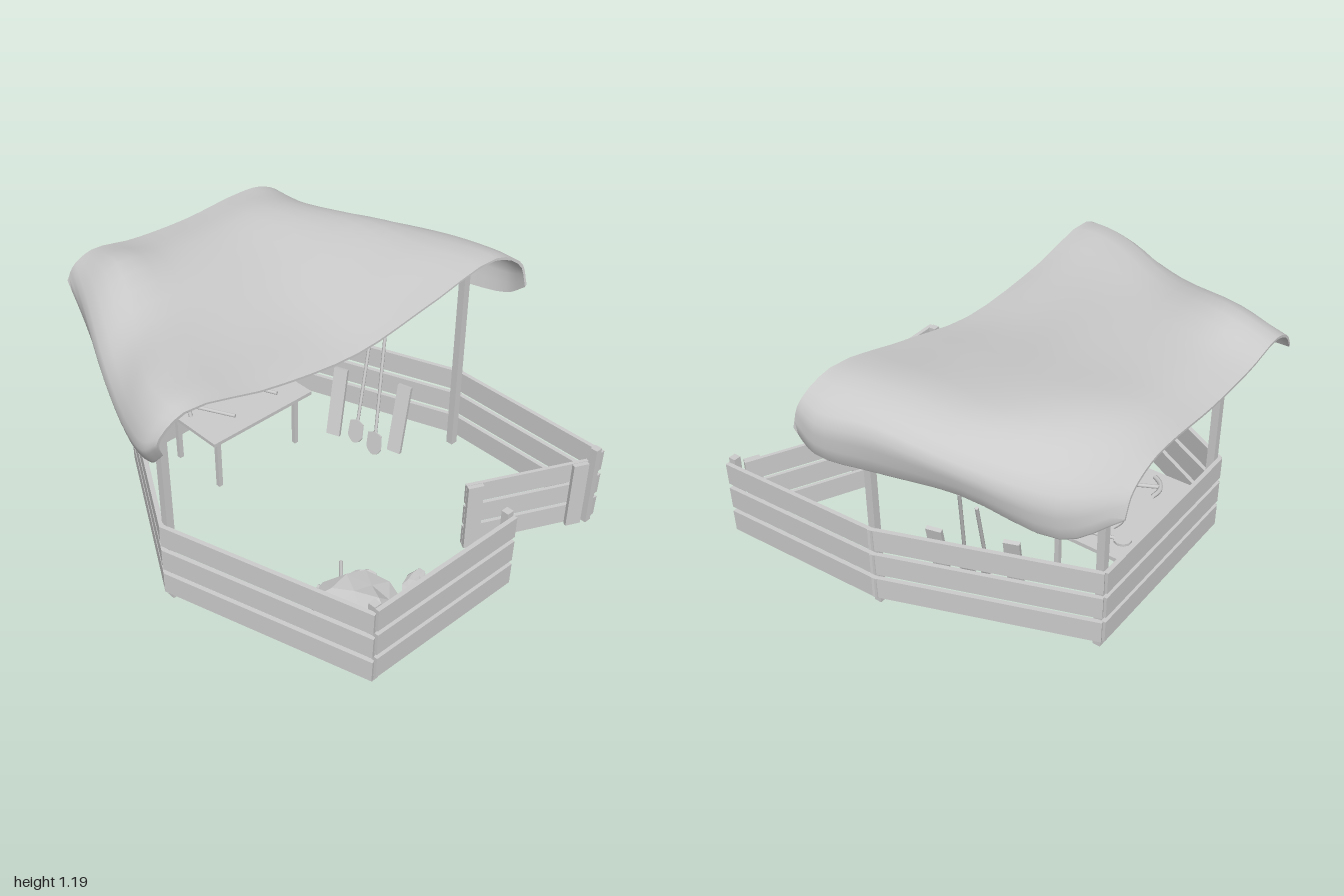
import * as THREE from 'three';
import { toCreasedNormals } from 'three/addons/utils/BufferGeometryUtils.js';

const V = (x, y, z) => new THREE.Vector3(x, y, z);
const mat = new THREE.MeshStandardMaterial({ color: 0xcccccc, side: THREE.DoubleSide });
const flat = new THREE.MeshStandardMaterial({ color: 0xcccccc, flatShading: true });

function add(parent, name, geometry, material = mat) {
  const mesh = new THREE.Mesh(geometry, material);
  mesh.name = name;
  parent.add(mesh);
  return mesh;
}

function group(parent, name) {
  const g = new THREE.Group();
  g.name = name;
  parent.add(g);
  return g;
}

// Box running from p to q, w wide and h tall
function beam(parent, name, p, q, w, h) {
  const m = add(parent, name, new THREE.BoxGeometry(w, h, p.distanceTo(q)));
  m.position.copy(p).lerp(q, 0.5);
  m.lookAt(q);
  return m;
}

// Round stick from p to q
function stick(parent, name, p, q, r) {
  const m = add(parent, name, new THREE.CylinderGeometry(r, r, p.distanceTo(q), 8));
  m.position.copy(p).lerp(q, 0.5);
  m.quaternion.setFromUnitVectors(V(0, 1, 0), q.clone().sub(p).normalize());
  return m;
}

function post(parent, name, x, z, top) {
  const m = add(parent, name, new THREE.BoxGeometry(0.035, top - 0.04, 0.035));
  m.position.set(x, (top + 0.04) / 2, z);
}

// Three planks between two posts, set on their outer side
function fencePanel(parent, a, b, dropA, dropB) {
  const g = group(parent, 'fencePanel');
  const along = V(b[0] - a[0], 0, b[1] - a[1]).normalize();
  const out = V(-along.z, 0, along.x);
  if (out.x * (a[0] + b[0]) + out.z * (a[1] + b[1]) < 0) out.negate();
  for (let i = 0; i < 3; i++) {
    const y = 0.133 + i * 0.13;
    const p = V(a[0], y - dropA, a[1]).addScaledVector(out, 0.029).addScaledVector(along, -0.018);
    const q = V(b[0], y - dropB, b[1]).addScaledVector(out, 0.029).addScaledVector(along, 0.018);
    beam(g, 'fencePlank', p, q, 0.02, 0.105);
  }
}

// Draped cloth lofted through cross-sections that run front to back as [z, y]
function canopyGeometry() {
  const sections = [
    [-0.97, -0.97, [[.56, 1.03], [.52, 1.09], [.42, 1.13], [.2, 1.1], [-.1, 1.09], [-.4, 1.11], [-.55, 1.1], [-.67, 1.04], [-.71, .95]]],
    [-0.72, -0.74, [[.65, .97], [.64, 1.06], [.46, 1.18], [.2, 1.13], [-.1, 1.125], [-.42, 1.14], [-.62, 1.08], [-.77, .95], [-.77, .79]]],
    [-0.35, -0.35, [[.8, .885], [.82, .99], [.64, 1.1], [.3, 1.11], [-.1, 1.1], [-.5, 1.12], [-.73, 1.1], [-.88, 1], [-.86, .87]]],
    [-0.03, 0, [[.93, .865], [.95, .96], [.83, 1.11], [.4, 1.08], [0, 1.04], [-.4, 1.08], [-.75, 1.13], [-.94, 1.05], [-.93, .86]]],
    [0.11, 0.24, [[.95, .87], [.99, .97], [.87, 1.12], [.45, 1.06], [0, 1.01], [-.4, 1.07], [-.8, 1.14], [-.98, 1.04], [-.99, .875]]],
    [0.19, 0.345, [[.95, .95], [.975, 1.03], [.86, 1.12], [.45, 1.04], [0, 1], [-.4, 1.07], [-.8, 1.14], [-.96, 1.06], [-.985, .95]]],
  ];
  const M = 28, S = 20;
  const lines = sections.map(([xf, xb, pts]) => new THREE.CatmullRomCurve3(
    pts.map(([z, y], i) => V(THREE.MathUtils.lerp(xf, xb, i / 8), y, z))).getPoints(M));
  const cols = Array.from({ length: M + 1 }, (_, j) =>
    new THREE.CatmullRomCurve3(lines.map((l) => l[j])).getPoints(S));
  const pos = [], idx = [], N = 2 * (M + 1);
  for (let s = 0; s <= S; s++) {
    for (let j = 0; j <= M; j++) pos.push(...cols[j][s].toArray());
    for (let j = M; j >= 0; j--) {
      const p = cols[j][s];
      pos.push(p.x, p.y - 0.01, p.z * 0.99);
    }
  }
  for (let s = 0; s < S; s++) {
    for (let j = 0; j < N; j++) {
      const a = s * N + j, c = s * N + (j + 1) % N;
      idx.push(a, a + N, c, c, a + N, c + N);
    }
  }
  const e = S * N;
  for (let j = 0; j < M; j++) {
    const b = N - 1 - j;
    idx.push(j, j + 1, b, j + 1, b - 1, b);
    idx.push(e + j, e + b, e + j + 1, e + j + 1, e + b, e + b - 1);
  }
  const g = new THREE.BufferGeometry();
  g.setAttribute('position', new THREE.Float32BufferAttribute(pos, 3));
  g.setIndex(idx);
  return toCreasedNormals(g, 1);
}

// Faceted stone with a repeatable bumpy outline
function rock(parent, name, x, y, z, sx, sy, sz, turn, detail) {
  const geo = new THREE.IcosahedronGeometry(1, detail);
  const p = geo.attributes.position;
  for (let i = 0; i < p.count; i++) {
    const v = V(p.getX(i), p.getY(i), p.getZ(i));
    v.multiplyScalar(1 + 0.12 * Math.sin(v.x * 3.1 + v.y * 5.3 + v.z * 2.3 + turn));
    p.setXYZ(i, v.x, v.y, v.z);
  }
  geo.computeVertexNormals();
  const m = add(parent, name, geo, flat);
  m.position.set(x, y, z);
  m.scale.set(sx, sy, sz);
  m.rotation.y = turn;
}

// Pick: a handle from p to q with a curved head across q
function pick(parent, p, q, half) {
  const g = group(parent, 'pick');
  stick(g, 'pickHandle', p, q, 0.009);
  const d = q.clone().sub(p).normalize();
  const side = V(-d.z, 0, d.x).normalize();
  const end = (k) => q.clone().addScaledVector(side, k * half).addScaledVector(d, -0.03);
  const curve = new THREE.QuadraticBezierCurve3(end(-1), q.clone().addScaledVector(d, 0.03), end(1));
  add(g, 'pickHead', new THREE.TubeGeometry(curve, 8, 0.011, 6));
}

// Shovel: long handle with a rounded blade at the foot
function shovel(parent, top, foot) {
  const g = group(parent, 'shovel');
  const len = top.distanceTo(foot);
  const shaft = add(g, 'shovelHandle', new THREE.CylinderGeometry(0.008, 0.008, len - 0.08, 8));
  shaft.position.y = len / 2 + 0.04;
  const s = new THREE.Shape();
  s.moveTo(-0.042, 0.1);
  s.lineTo(-0.046, 0.03);
  s.quadraticCurveTo(-0.03, 0, 0, -0.005);
  s.quadraticCurveTo(0.03, 0, 0.046, 0.03);
  s.lineTo(0.042, 0.1);
  s.lineTo(0, 0.115);
  add(g, 'shovelBlade', new THREE.ExtrudeGeometry(s, { depth: 0.008, bevelEnabled: false }));
  g.position.copy(foot);
  g.quaternion.setFromUnitVectors(V(0, 1, 0), top.clone().sub(foot).normalize());
}

export function createModel() {
  const model = new THREE.Group();
  model.name = 'fencedShelter';

  // Posts, the four tall ones carrying the canopy
  const A = [-0.75, 0.41], B = [0.035, 0.84], C = [0.93, 0.555], D = [0.935, -0.215];
  const E = [0.935, -0.815], F = [0.14, -0.8], G = [-0.75, -0.475];
  const posts = group(model, 'posts');
  [[A, 1.14], [B, 1.1], [F, 1.115], [G, 1.1]].forEach(([p, h]) => post(posts, 'tallPost', ...p, h));
  [C, D, E].forEach((p) => post(posts, 'shortPost', ...p, 0.45));

  // Plank fence round the yard
  const fence = group(model, 'fence');
  [[A, B, 0, 0], [B, C, 0, 0.02], [C, D, 0, 0.02], [E, F, 0.02, 0], [F, G, 0, 0], [G, A, 0, 0]]
    .forEach((f) => fencePanel(fence, ...f));

  // Gate standing ajar
  const gate = group(model, 'gate');
  const hinge = V(0.925, 0, -0.775), latch = V(0.675, 0, -0.26);
  for (let i = 0; i < 3; i++) {
    const up = V(0, 0.118 + i * 0.117, 0);
    beam(gate, 'gatePlank', hinge.clone().add(up), latch.clone().add(up), 0.016, 0.1);
  }
  const dir = latch.clone().sub(hinge).normalize(), outward = V(dir.z, 0, -dir.x);
  [0.04, 0.535].forEach((d) => {
    const c = hinge.clone().addScaledVector(dir, d).addScaledVector(outward, 0.018).setY(0.23);
    beam(gate, 'gateBatten', c.clone().addScaledVector(dir, -0.036), c.clone().addScaledVector(dir, 0.036), 0.02, 0.34);
  });

  add(model, 'canopy', canopyGeometry());

  // Work table
  const table = group(model, 'table');
  const top = add(table, 'tableTop', new THREE.BoxGeometry(0.4, 0.018, 0.6));
  top.position.set(-0.53, 0.335, 0);
  for (const x of [-0.68, -0.385]) for (const z of [-0.24, 0.24]) {
    const leg = add(table, 'tableLeg', new THREE.BoxGeometry(0.022, 0.29, 0.022));
    leg.position.set(x, 0.185, z);
  }

  // Hand tools on the table
  pick(model, V(-0.42, 0.355, 0.1), V(-0.62, 0.355, 0.2), 0.07);
  pick(model, V(-0.42, 0.355, -0.16), V(-0.6, 0.355, -0.08), 0.06);
  const trowel = group(model, 'trowel');
  stick(trowel, 'trowelHandle', V(-0.5, 0.352, -0.24), V(-0.64, 0.352, -0.2), 0.008);
  const disc = add(trowel, 'trowelBlade', new THREE.CylinderGeometry(0.04, 0.04, 0.012, 10));
  disc.position.set(-0.67, 0.352, -0.19);

  // Leaning boards and shovels by the back fence
  beam(model, 'leaningBoard', V(-0.3, 0.04, -0.42), V(-0.33, 0.38, -0.5), 0.07, 0.02);
  beam(model, 'leaningBoard', V(0, 0.04, -0.54), V(-0.02, 0.38, -0.62), 0.07, 0.02);
  shovel(model, V(-0.28, 0.64, -0.66), V(-0.19, 0.035, -0.46));
  shovel(model, V(-0.17, 0.64, -0.63), V(-0.06, 0.035, -0.46));

  // Stones, with a pick lying against the boulder
  rock(model, 'boulder', 0.67, 0.115, 0.4, 0.19, 0.11, 0.18, 0.5, 1);
  rock(model, 'longStone', 0.69, 0.04, 0.06, 0.045, 0.028, 0.095, 0.45, 1);
  rock(model, 'stone', 0.515, 0.045, 0.19, 0.045, 0.025, 0.065, -0.5, 1);
  rock(model, 'pebble', 0.37, 0.045, 0.46, 0.042, 0.02, 0.034, -0.6, 1);
  pick(model, V(0.385, 0.05, 0.195), V(0.53, 0.07, 0.335), 0.1);
  return model;
}
